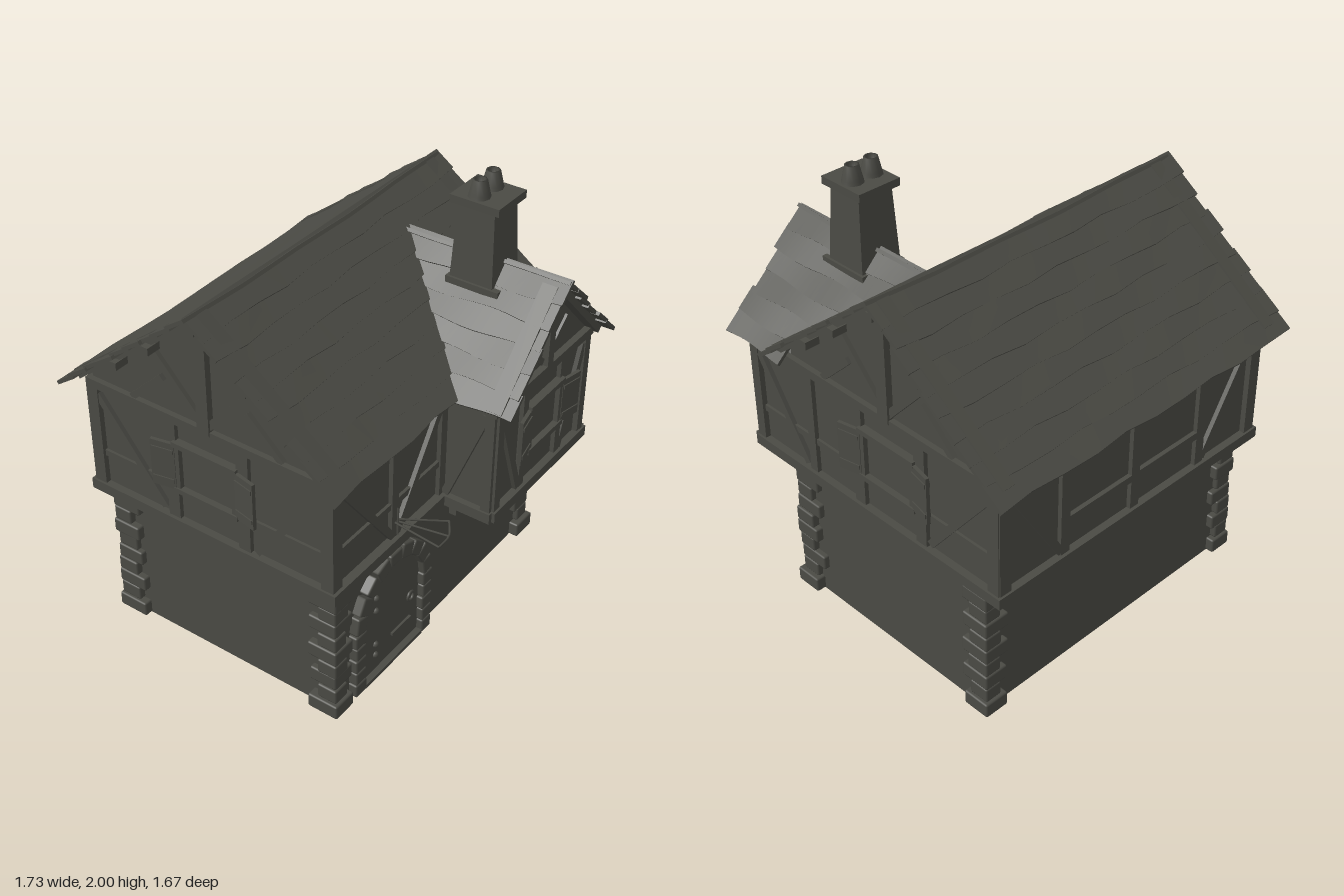
import * as THREE from 'three';
import { RoundedBoxGeometry } from 'three/addons/geometries/RoundedBoxGeometry.js';

const weathered = new THREE.MeshStandardMaterial({ color: 0x4a4a44 });
weathered.name = 'weathered grey';

let seed = 7;
const rnd = (a) => {
  seed = (seed * 16807) % 2147483647;
  return (seed / 2147483647 - 0.5) * 2 * a;
};

function add(parent, name, geometry, x = 0, y = 0, z = 0) {
  const mesh = new THREE.Mesh(geometry, weathered);
  mesh.name = name;
  mesh.position.set(x, y, z);
  parent.add(mesh);
  return mesh;
}
const box = (parent, name, w, h, d, x, y, z) => add(parent, name, new THREE.BoxGeometry(w, h, d), x, y, z);

function group(parent, name, x = 0, y = 0, z = 0, turn = 0) {
  const g = new THREE.Group();
  g.name = name;
  g.position.set(x, y, z);
  g.rotation.y = turn;
  parent.add(g);
  return g;
}

// Polygon extruded along z
function prism(points, depth) {
  const shape = new THREE.Shape(points.map(([x, y]) => new THREE.Vector2(x, y)));
  return new THREE.ExtrudeGeometry(shape, { depth, bevelEnabled: false });
}

// Timbers on a wall plane: [x1, y1, x2, y2, width, projection]
function timbers(parent, list, flip = 1) {
  list.forEach(([x1, y1, x2, y2, w = 0.04, out = 0.02]) => {
    const dx = (x2 - x1) * flip, dy = y2 - y1;
    const m = box(parent, 'timber', Math.hypot(dx, dy), w, out + 0.02, (x1 + x2) / 2 * flip, (y1 + y2) / 2, (out - 0.02) / 2);
    m.rotation.z = Math.atan2(dy, dx);
  });
}

// Framed window with glazing bars and two open shutters
function windowSet(parent, x, y, w, h, shutterGap) {
  const g = group(parent, 'window', x, y, 0);
  box(g, 'windowPane', w, h, 0.008, 0, 0, 0.004);
  for (const s of [-1, 1]) {
    box(g, 'windowJamb', 0.022, h, 0.04, s * w / 2, 0, 0.01);
    box(g, 'windowRail', w + 0.04, 0.024, 0.05, 0, s * h / 2, 0.012);
    const sh = group(g, 'shutter', s * (w / 2 + shutterGap + 0.055), 0, 0.036);
    sh.rotation.y = -s * 0.2;
    box(sh, 'shutterBoard', 0.11, h * 0.98, 0.016, 0, 0, 0);
    for (const e of [-1, 1]) box(sh, 'shutterBatten', 0.1, 0.02, 0.026, 0, e * h * 0.32, 0);
  }
}

// Overlapping roof boards; local z runs down the slope, range gives each row's ends
function roofSlope(parent, name, pos, turn, pitch, length, rows, range) {
  const g = group(parent, name, ...pos, turn);
  const step = length / rows;
  for (let i = 0; i < rows; i++) {
    const d = (i + 0.5) * step;
    const [a, b] = range(d);
    const x0 = a + rnd(0.013), x1 = b + rnd(0.013);
    const geo = new THREE.BoxGeometry(x1 - x0, 0.016, step * 1.2, 10, 1, 1);
    geo.translate((x0 + x1) / 2, 0, 0);
    const p = geo.attributes.position;
    for (let k = 0; k < p.count; k++) {
      const x = p.getX(k);
      p.setY(k, p.getY(k) - 0.012 * Math.cos(x * 1.7) + 0.003 * Math.sin(x * 9 + i * 2));
      if (p.getZ(k) > 0) p.setZ(k, p.getZ(k) + 0.008 * Math.sin(x * 13 + i * 4));
    }
    geo.computeVertexNormals();
    const m = add(g, 'roofBoard', geo, 0, -d * Math.sin(pitch), d * Math.cos(pitch));
    m.rotation.x = pitch - 0.06;
  }
}

export function createModel() {
  const house = new THREE.Group();
  house.name = 'timberFramedHouse';

  // Ground floor and corner stones
  box(house, 'groundFloorWall', 1.48, 0.66, 1.12, 0.01, 0.33, -0.09);
  const rows = 9, rowH = 0.64 / rows;
  for (const sx of [-1, 1]) for (const sz of [-1, 1]) {
    const corner = group(house, 'cornerStones');
    for (let i = 0; i < rows; i++) {
      const long = i % 2 === 0;
      const w = (long ? 0.12 : 0.085) + rnd(0.008), d = (long ? 0.14 : 0.1) + rnd(0.012);
      const out = (i === 0 ? 0.012 : 0) + rnd(0.006);
      add(corner, 'cornerStone', new RoundedBoxGeometry(w, rowH * 0.97, d, 1, 0.008),
        0.01 + sx * (0.77 + out - w / 2), (i + 0.5) * rowH, -0.09 + sz * (0.59 + out - d / 2));
    }
  }

  // Arched door with stone surround
  const door = group(house, 'door', -0.345, 0, 0.47);
  const arch = new THREE.Shape();
  arch.moveTo(-0.22, 0).lineTo(0.22, 0).lineTo(0.22, 0.34).absarc(0, 0.34, 0.22, 0, Math.PI, false).lineTo(-0.22, 0);
  add(door, 'doorPanel', new THREE.ExtrudeGeometry(arch, { depth: 0.01, bevelEnabled: false, curveSegments: 16 }));
  for (const s of [-1, 1]) for (let i = 0; i < 5; i++)
    add(door, 'jambStone', new RoundedBoxGeometry(0.07 + rnd(0.008), 0.066, 0.06, 1, 0.008), s * 0.245, 0.034 + i * 0.068, 0.012);
  for (let i = 0; i < 9; i++) {
    const a = (i + 0.5) * Math.PI / 9;
    const stone = add(door, 'archStone', new RoundedBoxGeometry(0.066 + rnd(0.006), 0.084, 0.06, 1, 0.008),
      Math.cos(a) * 0.243, 0.34 + Math.sin(a) * 0.243, 0.012);
    stone.rotation.z = a;
  }
  box(door, 'threshold', 0.42, 0.018, 0.05, 0, 0.009, 0.015);
  for (const y of [0.1, 0.16, 0.35, 0.42])
    add(door, 'doorStud', new THREE.SphereGeometry(0.016, 8, 6), -0.105, y, 0.01);
  add(door, 'doorRing', new THREE.TorusGeometry(0.022, 0.006, 6, 14), 0.15, 0.25, 0.015);
  box(door, 'doorBolt', 0.14, 0.014, 0.014, 0.08, 0.13, 0.014);

  // Upper storey and projecting front bay
  const profile = [[-0.73, 0.65], [0.48, 0.65], [0.48, 1.25], [-0.12, 1.73], [-0.73, 1.24]];
  add(house, 'upperStorey', prism(profile, 1.51).translate(0, 0, -0.755).rotateY(-Math.PI / 2));
  const bay = [[0.02, 0.65], [0.755, 0.65], [0.755, 1.22], [0.4, 1.6], [0.02, 1.22]];
  add(house, 'frontBay', prism(bay, 0.42), 0, 0, 0.3);

  // Front wall timbers
  const front = group(house, 'frontTimbers', 0, 0, 0.48);
  timbers(front, [
    [-0.79, 0.67, 0.02, 0.67, 0.05, 0.04], [-0.77, 1.2, 0.02, 1.2, 0.04],
    [-0.75, 0.67, -0.75, 1.2, 0.06, 0.025], [-0.35, 0.67, -0.35, 1.2, 0.045], [0, 0.67, 0, 1.2, 0.045],
    [-0.73, 0.86, 0, 0.86, 0.03, 0.014], [-0.71, 1.16, -0.36, 0.7, 0.035], [-0.02, 1.16, -0.33, 0.7, 0.035],
  ]);

  // Bay timbers, window and gable
  const bayFront = group(house, 'bayTimbers', 0.39, 0, 0.72);
  timbers(bayFront, [
    [-0.38, 0.67, 0.39, 0.67, 0.05, 0.035], [-0.38, 1.21, 0.38, 1.21, 0.04, 0.03],
    [-0.15, 0.67, -0.15, 1.2], [0.15, 0.67, 0.15, 1.2], [-0.15, 0.85, 0.15, 0.85, 0.03],
    [0.01, 1.22, 0.01, 1.58, 0.045, 0.03],
  ]);
  for (const s of [1, -1]) timbers(bayFront, [
    [0.35, 0.67, 0.35, 1.2, 0.045, 0.025], [0.33, 1.16, 0.17, 0.7, 0.035],
    [0.4, 1.21, 0.01, 1.61, 0.04, 0.05], [0.17, 1.38, 0.02, 1.25, 0.03, 0.012],
  ], s);
  windowSet(bayFront, 0.01, 0.97, 0.24, 0.22, 0.01);
  const baySide = group(house, 'baySideTimbers', 0.02, 0, 0.6, -Math.PI / 2);
  timbers(baySide, [[-0.12, 0.67, 0.14, 0.67, 0.05, 0.03], [-0.12, 1.2, 0.14, 1.2],
    [0.11, 0.67, 0.11, 1.2, 0.045], [-0.09, 0.7, 0.09, 1.17, 0.035]]);

  // Brackets below the bay
  for (const x of [0.14, 0.41, 0.67]) {
    box(house, 'bracketBlock', 0.05, 0.1, 0.04, x, 0.545, 0.485);
    const strut = box(house, 'bracketStrut', 0.04, 0.03, 0.27, x, 0.575, 0.59);
    strut.rotation.x = -0.42;
    box(house, 'bracketJoist', 0.05, 0.035, 0.25, x, 0.635, 0.59);
  }

  // Gable end timbers and windows; coordinates run along z
  for (const s of [1, -1]) {
    const side = group(house, s > 0 ? 'leftGableTimbers' : 'rightGableTimbers', s * 0.755, 0, 0, s * Math.PI / 2);
    const f = s > 0 ? 0.74 : 0.5;
    timbers(side, [
      [-0.75, 0.67, f, 0.67, 0.05, 0.035], [-0.75, 1.2, f, 1.2, 0.04, 0.025],
      [-0.72, 0.67, -0.72, 1.2, 0.06, 0.025], [f - 0.03, 0.67, f - 0.03, 1.2, 0.05, 0.025],
      [0.06, 0.67, 0.06, 1.2, 0.06], [-0.31, 0.67, -0.31, 1.2, 0.06],
      [-0.7, 0.85, f, 0.85, 0.03, 0.012], [-0.7, 1.15, -0.36, 0.72, 0.035], [f - 0.05, 1.15, f > 0.6 ? 0.4 : 0.12, 0.71, 0.035],
      [-0.12, 1.2, -0.12, 1.72, 0.06, 0.03], [0.54, 1.23, -0.12, 1.745, 0.045, 0.04], [-0.78, 1.23, -0.12, 1.745, 0.045, 0.04],
      [0.14, 1.5, -0.1, 1.24, 0.035], [-0.38, 1.5, -0.14, 1.24, 0.035], [0.26, 1.22, 0.09, 1.38, 0.03], [-0.5, 1.22, -0.33, 1.38, 0.03],
    ], -s);
    if (s > 0) timbers(side, [[0.36, 0.67, 0.36, 1.2, 0.045]], -s);
    windowSet(side, 0.125 * s, 0.97, 0.29, 0.23, 0.01);
    // Purlin ends
    for (const [z, y] of [[0.3, 1.38], [0.12, 1.52], [-0.36, 1.52], [-0.54, 1.38], [-0.12, 1.7]])
      box(side, 'purlinEnd', 0.035, 0.035, 0.08, -s * z, y, 0.03);
  }

  // Back wall timbers
  const back = group(house, 'backTimbers', 0, 0, -0.73, Math.PI);
  timbers(back, [[-0.79, 0.67, 0.79, 0.67, 0.05, 0.035], [-0.77, 1.2, 0.77, 1.2], [-0.41, 0.85, 0.41, 0.85, 0.035], [0, 0.67, 0, 1.2, 0.05]]);
  for (const s of [1, -1]) timbers(back, [
    [0.745, 0.67, 0.745, 1.2, 0.06, 0.025], [0.41, 0.67, 0.41, 1.2, 0.05], [0.71, 1.16, 0.43, 0.71, 0.035],
  ], s);

  // Main roof
  const pitch = 0.67, ridge = [0, 1.765, -0.12];
  roofSlope(house, 'mainRoofFront', ridge, 0, pitch, 0.87, 9, () => [-0.855, 0.85]);
  roofSlope(house, 'mainRoofBack', ridge, Math.PI, pitch, 0.9, 9, () => [-0.85, 0.855]);

  // Bay roof, each board starting where it meets the main slope
  const bayPitch = 0.8;
  const meet = (d) => -0.12 + (0.125 + d * Math.sin(bayPitch)) / Math.tan(pitch) - 0.06;
  roofSlope(house, 'bayRoofLeft', [0.4, 1.645, 0], Math.PI / 2, bayPitch, 0.6, 6, (d) => [-0.81, -meet(d)]);
  roofSlope(house, 'bayRoofRight', [0.4, 1.645, 0], -Math.PI / 2, bayPitch, 0.6, 6, (d) => [meet(d), 0.81]);

  // Chimney
  const stack = new THREE.CylinderGeometry(0.085 * Math.SQRT2, 0.108 * Math.SQRT2, 0.5, 4).rotateY(Math.PI / 4).toNonIndexed();
  stack.computeVertexNormals();
  const chimney = group(house, 'chimney', 0.395, 0, 0.41);
  add(chimney, 'chimneyStack', stack, 0, 1.65, 0);
  box(chimney, 'chimneyFlashing', 0.225, 0.03, 0.25, 0, 1.54, 0.01);
  box(chimney, 'chimneyCap', 0.21, 0.035, 0.23, 0, 1.907, 0);
  const pot = [[0.048, 0], [0.044, 0.015], [0.03, 0.076], [0.022, 0.076], [0.022, 0.03], [0, 0.03]].map(([x, y]) => new THREE.Vector2(x, y));
  for (const x of [-0.05, 0.048]) add(chimney, 'chimneyPot', new THREE.LatheGeometry(pot, 10), x, 1.924, -0.01);

  // Thin iron bracket over the door
  const iron = group(house, 'ironBracket');
  const bar = (...pts) => {
    const curve = new THREE.CatmullRomCurve3(pts.map((p) => new THREE.Vector3(...p)));
    add(iron, 'ironBar', new THREE.TubeGeometry(curve, 8, 0.005, 5));
  };
  bar([-0.35, 0.77, 0.49], [-0.37, 0.765, 0.725]);
  bar([-0.34, 0.77, 0.49], [-0.29, 0.765, 0.72]);
  bar([-0.33, 0.77, 0.49], [-0.21, 0.765, 0.67]);
  bar([-0.37, 0.765, 0.725], [-0.29, 0.765, 0.72], [-0.21, 0.765, 0.67]);
  bar([-0.345, 0.85, 0.51], [-0.345, 0.71, 0.51]);

  return house;
}
